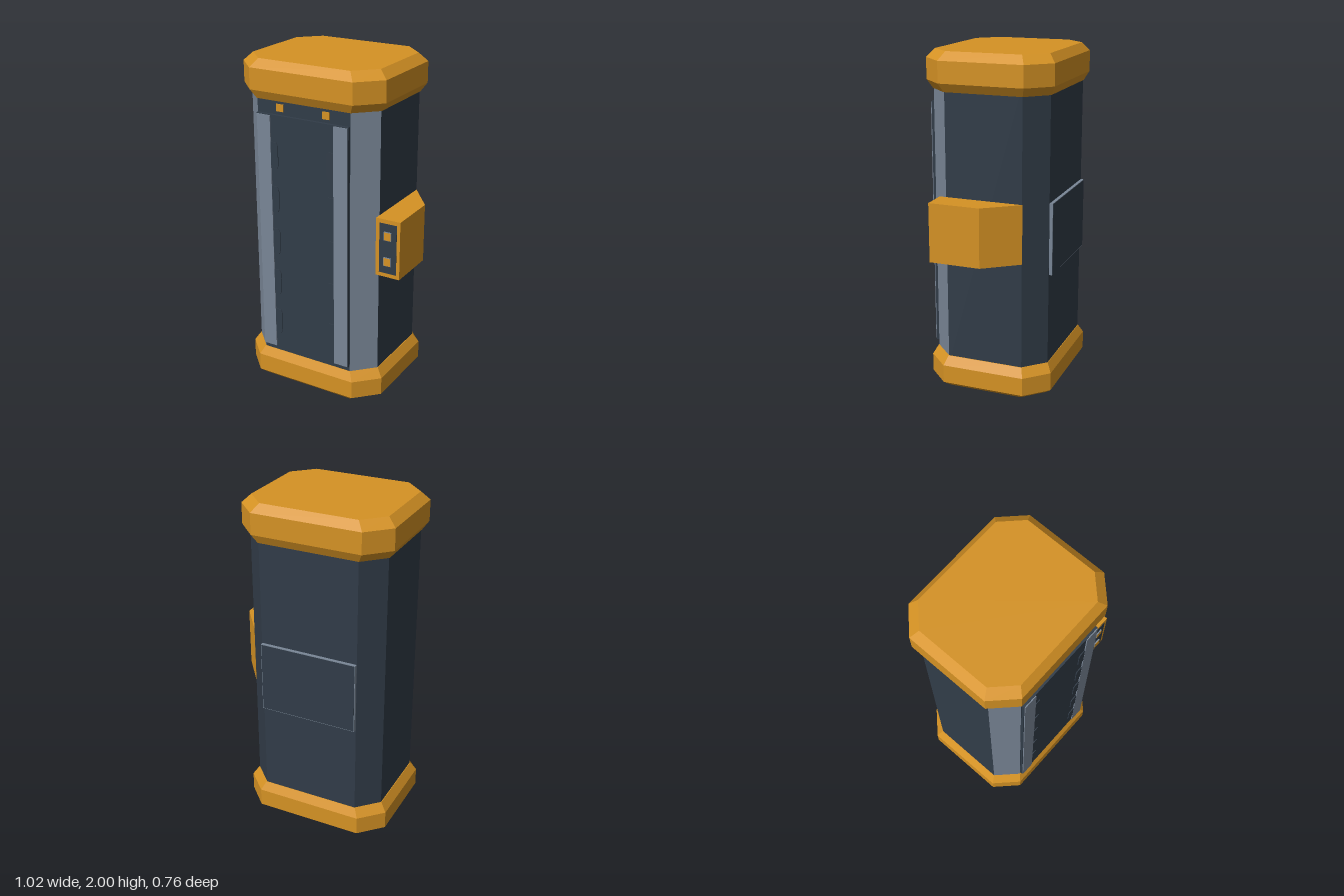
import * as THREE from 'three';

const mat = (name, color) => Object.assign(new THREE.MeshStandardMaterial({ color }), { name });

export function createModel() {
  const orange = mat('amber paint', 0xd59224);
  const dark = mat('dark slate', 0x313c48);
  const grey = mat('steel grey', 0x798696);
  const model = new THREE.Group();
  model.name = 'capsule';

  const add = (parent, name, geometry, material, x = 0, y = 0, z = 0) => {
    const mesh = new THREE.Mesh(geometry, material);
    mesh.name = name;
    mesh.position.set(x, y, z);
    parent.add(mesh);
    return mesh;
  };
  const box = (parent, name, material, w, h, d, x, y, z) =>
    add(parent, name, new THREE.BoxGeometry(w, h, d), material, x, y, z);

  // Chamfered-rectangle loft; rows are [y, half width, half depth, chamfer].
  // The two front chamfers use material 1, everything else material 0.
  const loft = (rows) => {
    const rings = rows.map(([y, w, d, c]) => [
      [w - c, d], [w, d - c], [w, c - d], [w - c, -d],
      [c - w, -d], [-w, c - d], [-w, d - c], [c - w, d],
    ].map(([x, z]) => [x, y, z]));
    const pos = [];
    const geometry = new THREE.BufferGeometry();
    const tri = (m, ...pts) => {
      geometry.addGroup(pos.length / 3, 3, m);
      pts.forEach((p) => pos.push(...p));
    };
    for (let r = 0; r < rings.length - 1; r++) {
      for (let i = 0; i < 8; i++) {
        const j = (i + 1) % 8, m = i === 0 || i === 6 ? 1 : 0;
        const [a, b, c, d] = [rings[r][i], rings[r][j], rings[r + 1][j], rings[r + 1][i]];
        tri(m, a, b, c);
        tri(m, a, c, d);
      }
    }
    const top = rings[rings.length - 1], low = rings[0];
    for (let i = 1; i < 7; i++) {
      tri(0, top[0], top[i], top[i + 1]);
      tri(0, low[0], low[i + 1], low[i]);
    }
    geometry.setAttribute('position', new THREE.Float32BufferAttribute(pos, 3));
    geometry.computeVertexNormals();
    return geometry;
  };

  // Cabin and its two end caps, offset to make room for the control box
  const cabin = new THREE.Group();
  cabin.name = 'cabin';
  cabin.position.x = -0.057;
  model.add(cabin);
  add(cabin, 'body', loft([[0.15, 0.418, 0.35, 0.12], [1.85, 0.418, 0.35, 0.12]]), [dark, grey]);
  add(cabin, 'baseCap', loft([
    [0, 0.408, 0.34, 0.117], [0.036, 0.457, 0.38, 0.13],
    [0.145, 0.457, 0.38, 0.13], [0.198, 0.422, 0.353, 0.121],
  ]), [orange, orange]);
  add(cabin, 'topCap', loft([
    [1.777, 0.422, 0.353, 0.121], [1.828, 0.457, 0.38, 0.13],
    [1.952, 0.457, 0.38, 0.13], [2, 0.408, 0.34, 0.117],
  ]), [orange, orange]);

  // Front door with steel side strips
  box(cabin, 'door', dark, 0.59, 1.47, 0.03, 0, 0.965, 0.352);
  for (const s of [-1, 1]) {
    box(cabin, 'doorStrip', grey, 0.087, 1.46, 0.008, s * 0.2475, 0.965, 0.369);

    // Chamfered latches along the inner edge of each strip
    const latch = new THREE.Shape([
      [0, -0.078], [0.036, -0.078], [0.046, -0.06], [0.046, 0.06], [0.036, 0.078], [0, 0.078],
    ].map(([x, y]) => new THREE.Vector2(s * (0.204 - x), y)));
    const latchGeometry = new THREE.ExtrudeGeometry(latch, { depth: 0.006, bevelEnabled: false });
    for (let i = 0; i < 5; i++) {
      add(cabin, 'latch', latchGeometry, dark, 0, 0.413 + i * 0.263, 0.366);
    }

    // Lamps above the door
    box(cabin, 'lamp', orange, 0.046, 0.042, 0.008, s * 0.148, 1.741, 0.352);
  }

  // Rear access panel: steel slab with a dark face
  box(cabin, 'rearPanel', grey, 0.592, 0.425, 0.022, 0, 0.955, -0.358);
  box(cabin, 'rearPanelFace', dark, 0.585, 0.418, 0.004, 0, 0.955, -0.3685);

  // Control box on the left side, tapering to the rear
  const controls = new THREE.Group();
  controls.name = 'controlBox';
  model.add(controls);
  const outline = new THREE.Shape([
    [0.36, 0.27], [0.511, 0.27], [0.511, -0.035], [0.36, -0.232],
  ].map(([x, z]) => new THREE.Vector2(x, -z)));
  const housing = new THREE.ExtrudeGeometry(outline, { depth: 0.348, bevelEnabled: false });
  housing.rotateX(-Math.PI / 2);
  add(controls, 'housing', housing, orange, 0, 0.83, 0);
  box(controls, 'controlPlate', dark, 0.108, 0.3, 0.006, 0.437, 1.004, 0.269);
  for (const y of [0.927, 1.082]) {
    box(controls, 'buttonRim', grey, 0.046, 0.05, 0.012, 0.437, y, 0.274);
    box(controls, 'button', orange, 0.042, 0.046, 0.004, 0.437, y, 0.279);
  }
  return model;
}
